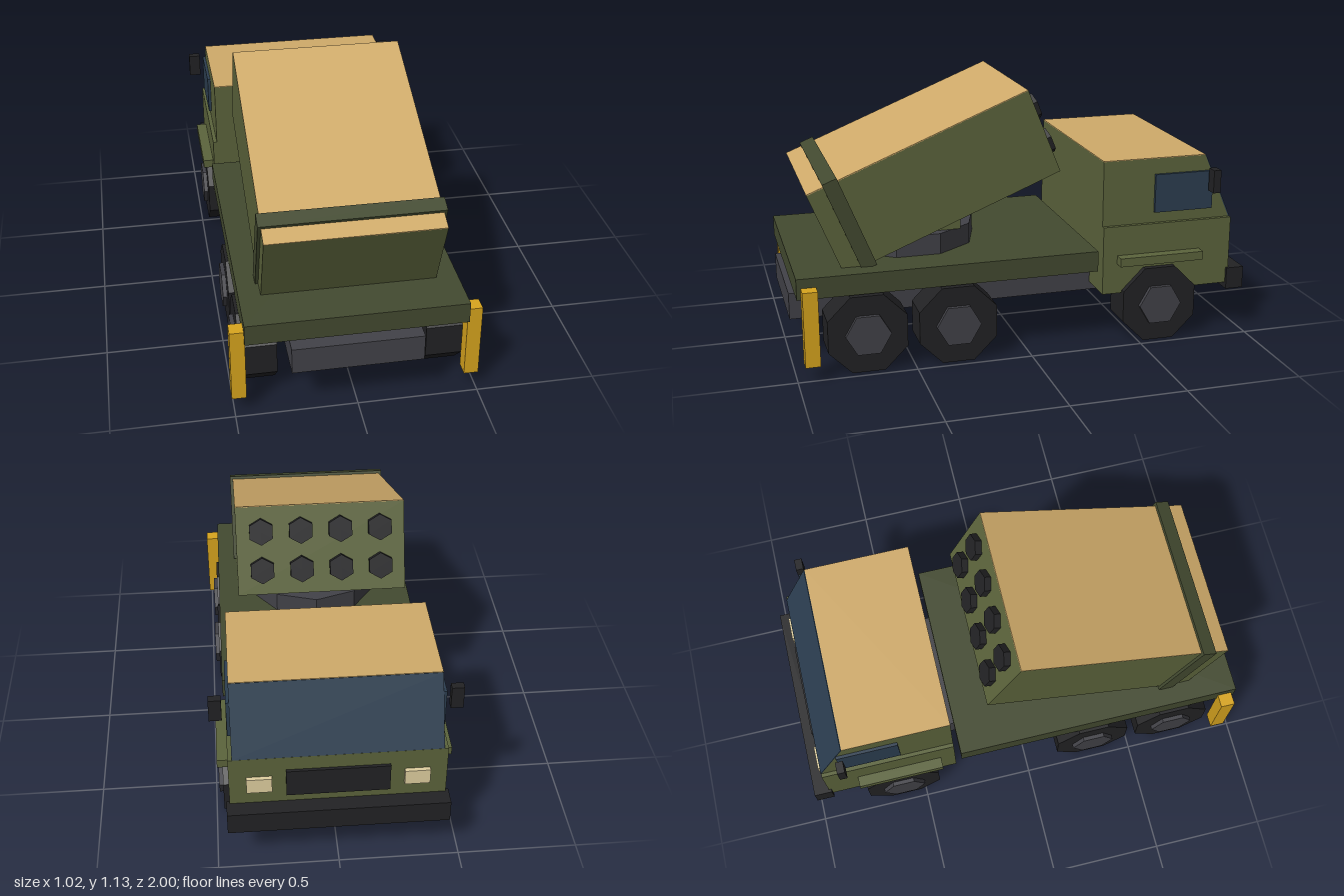
import * as THREE from 'three';

const mat = (color) => new THREE.MeshStandardMaterial({ color, flatShading: true });

export function createModel() {
  const olive = mat(0x5c643c), darkOlive = mat(0x434a30), tan = mat(0xd0ab6a), amber = mat(0xd8a51e);
  const black = mat(0x222224), grey = mat(0x424248), glass = mat(0x2c3e50), lamp = mat(0xe0d0a0);
  const model = new THREE.Group();
  model.name = 'launcherTruck';

  const add = (name, geometry, material, parent = model) => {
    const mesh = new THREE.Mesh(geometry, material);
    mesh.name = name;
    parent.add(mesh);
    return mesh;
  };
  // Box given by its minimum and maximum on each axis
  const box = (name, material, [x0, x1], [y0, y1], [z0, z1], parent = model) => {
    const mesh = add(name, new THREE.BoxGeometry(x1 - x0, y1 - y0, z1 - z0), material, parent);
    mesh.position.set((x0 + x1) / 2, (y0 + y1) / 2, (z0 + z1) / 2);
    return mesh;
  };
  // The same box on both sides of the truck
  const pair = (name, material, [x0, x1], y, z) => {
    box('left' + name, material, [x0, x1], y, z);
    box('right' + name, material, [-x1, -x0], y, z);
  };

  // Chassis and deck
  box('chassis', grey, [-0.27, 0.27], [0.19, 0.305], [-0.84, 1]);
  box('deck', darkOlive, [-0.453, 0.453], [0.34, 0.43], [-0.31, 0.985]);

  // Wheels: octagonal tyres with hexagonal hubs
  const tyre = new THREE.CylinderGeometry(0.181, 0.181, 0.155, 8, 1, false, Math.PI / 8).rotateZ(Math.PI / 2);
  const hub = new THREE.CylinderGeometry(0.096, 0.096, 0.155, 6).rotateZ(Math.PI / 2);
  for (const z of [0.7, 0.315, -0.594]) {
    for (const side of [1, -1]) {
      const wheel = new THREE.Group();
      wheel.name = 'wheel';
      wheel.position.set(side * 0.388, 0.1675, z);
      add('tyre', tyre, black, wheel);
      add('hub', hub, grey, wheel).position.x = side * 0.018;
      model.add(wheel);
    }
  }

  // Cab: wide lower body and a narrower upper part with a raked front
  box('cabLower', olive, [-0.44, 0.44], [0.225, 0.53], [-0.932, -0.337]);
  const profile = new THREE.Shape([[0.337, 0.53], [0.93, 0.53], [0.805, 0.817], [0.337, 0.817]]
    .map(([z, y]) => new THREE.Vector2(z, y)));
  const upper = new THREE.ExtrudeGeometry(profile, { depth: 0.846, bevelEnabled: false });
  upper.translate(0, 0, -0.423).rotateY(Math.PI / 2);
  add('cabUpper', upper, olive);
  box('cabRoof', tan, [-0.423, 0.423], [0.816, 0.82], [-0.805, -0.337]);
  const windshield = add('windshield', new THREE.BoxGeometry(0.846, 0.313, 0.006), glass);
  windshield.position.set(0, 0.674, -0.868);
  windshield.rotation.x = Math.atan2(0.125, 0.287);
  pair('Window', glass, [0.42, 0.436], [0.578, 0.748], [-0.84, -0.572]);
  pair('Mirror', black, [0.453, 0.504], [0.665, 0.766], [-0.845, -0.812]);
  pair('Step', olive, [0.43, 0.486], [0.36, 0.398], [-0.785, -0.402]);

  // Cab front
  box('bumper', black, [-0.453, 0.453], [0.198, 0.296], [-1, -0.92]);
  box('grille', black, [-0.21, 0.21], [0.337, 0.465], [-0.945, -0.925]);
  pair('Headlight', lamp, [0.267, 0.37], [0.365, 0.435], [-0.95, -0.925]);

  // Stabiliser legs
  pair('StabiliserLeg', amber, [0.45, 0.51], [0.065, 0.39], [0.905, 0.968]);

  // Turntable, pedestal and lifting rams
  add('turntable', new THREE.CylinderGeometry(0.31, 0.31, 0.09, 10), grey).position.set(0, 0.475, 0.446);
  box('pedestal', olive, [-0.25, 0.25], [0.52, 0.61], [0.25, 0.64]);
  for (const x of [-0.2, 0.2]) {
    const ram = add('liftingRam', new THREE.BoxGeometry(0.06, 0.06, 0.34), grey);
    ram.position.set(x, 0.629, 0.285);
    ram.rotation.x = 0.2;
  }

  // Raised launcher, built level and then tilted
  const launcher = new THREE.Group();
  launcher.name = 'launcher';
  launcher.position.set(0, 0.765, 0.378);
  launcher.rotation.x = 0.386;
  model.add(launcher);
  box('launcherBody', olive, [-0.362, 0.362], [-0.193, 0.19], [-0.505, 0.505], launcher);
  box('launcherTop', tan, [-0.362, 0.362], [0.188, 0.193], [-0.505, 0.505], launcher);
  box('launcherBand', darkOlive, [-0.375, 0.375], [-0.206, 0.206], [0.365, 0.43], launcher);
  const cap = new THREE.CylinderGeometry(0.057, 0.057, 0.06, 6).rotateX(Math.PI / 2);
  for (const y of [0.084, -0.084]) {
    for (let i = 0; i < 4; i++) {
      add('tubeCap', cap, black, launcher).position.set((i - 1.5) * 0.17, y, -0.505);
    }
  }
  return model;
}
